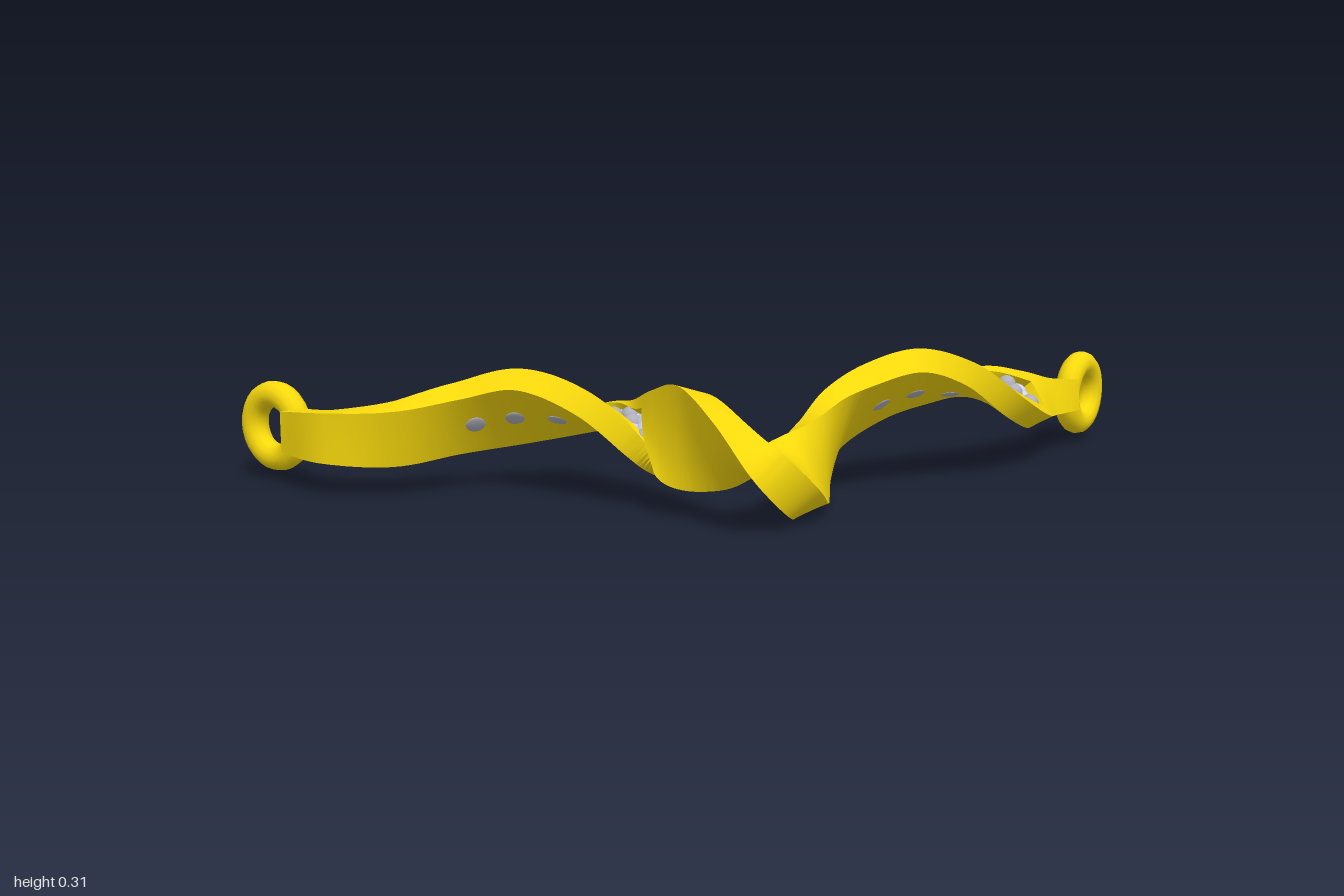
import * as THREE from 'three';
import { toCreasedNormals } from 'three/addons/utils/BufferGeometryUtils.js';

const gold = new THREE.MeshStandardMaterial({ color: 0xf9da0c });
const pale = new THREE.MeshStandardMaterial({ color: 0xd2d2f2 });
const grey = new THREE.MeshStandardMaterial({ color: 0xb0b0bc });
const DEPTH = 0.036, RIM = 0.028, STEPS = 8;
const PANELS = [[2.2, 6.6], [13.4, 18.1]]; // pocket ranges, in station numbers

const curve = (pts) => new THREE.CatmullRomCurve3(pts.map((p) => new THREE.Vector3(...p)));

// The two long edges of the twisted band, station by station
const edgeA = curve([
  [-0.9, 0.077, -0.29], [-0.825, 0.074, -0.17], [-0.7, 0.076, -0.135], [-0.56, 0.097, -0.165],
  [-0.42, 0.115, -0.177], [-0.28, 0.147, -0.135], [-0.203, 0.187, -0.01], [-0.172, 0.243, 0.125],
  [-0.14, 0.276, 0.24], [-0.095, 0.23, 0.375], [-0.035, 0.142, 0.435], [0.05, 0.048, 0.38],
  [0.1, 0.006, 0.25], [0.148, 0.035, 0.095], [0.215, 0.095, -0.032], [0.34, 0.158, -0.068],
  [0.47, 0.19, -0.088], [0.6, 0.205, -0.132], [0.7, 0.187, -0.195], [0.78, 0.17, -0.25], [0.88, 0.16, -0.31],
]);
const edgeB = curve([
  [-0.9, 0.165, -0.29], [-0.825, 0.18, -0.17], [-0.7, 0.197, -0.1], [-0.57, 0.227, -0.08],
  [-0.45, 0.255, -0.03], [-0.33, 0.215, 0.065], [-0.235, 0.13, 0.128], [-0.19, 0.075, 0.175],
  [-0.14, 0.065, 0.225], [-0.085, 0.085, 0.275], [-0.02, 0.13, 0.292], [0.03, 0.16, 0.265],
  [0.1, 0.19, 0.21], [0.17, 0.235, 0.17], [0.25, 0.268, 0.153], [0.36, 0.289, 0.132],
  [0.49, 0.248, 0.083], [0.62, 0.16, 0.01], [0.72, 0.105, -0.1], [0.79, 0.09, -0.215], [0.88, 0.09, -0.3],
]);

// 1 at the central loop, fading to 0 along the arms
const loopness = (s) => Math.exp(-(((s - 9.8) / 2.8) ** 2));

function slope(edge, s) {
  const lo = Math.max(s - 0.05, 0), hi = Math.min(s + 0.05, 20);
  return edge.getPoint(hi / 20).sub(edge.getPoint(lo / 20));
}

// Ruled surface between the edges at station s (0 to 20)
function frame(s) {
  const a = edgeA.getPoint(s / 20), b = edgeB.getPoint(s / 20);
  const centre = a.clone().add(b).multiplyScalar(0.5);
  const across = a.clone().sub(b);
  const half = across.length() / 2;
  across.normalize();
  const slopeA = slope(edgeA, s), slopeB = slope(edgeB, s);
  const normalAt = (v) => slopeB.clone().lerp(slopeA, (v / half + 1) / 2).cross(across).normalize();
  // v runs across the band, h above its middle layer
  const at = (v, h) => centre.clone().addScaledVector(across, v).addScaledVector(normalAt(v), h);
  return { half, normalAt, at };
}

// Section: outer rectangle with a pocket sunk in the top; around the loop
// it is heavier on the outer edge, which is also bevelled
function section(s, depth) {
  const { half, at } = frame(s);
  const loop = loopness(s);
  const i = Math.max(half - RIM, half * 0.4);
  const thick = (v) => 0.0275 + loop * THREE.MathUtils.lerp(-0.008, 0.013, (v / half + 1) / 2);
  const top = (v, drop = 0) => at(v, thick(v) - drop);
  const row = (from, to, point) => Array.from({ length: STEPS + 1 },
    (_, k) => point(THREE.MathUtils.lerp(from, to, k / STEPS)));
  return [top(half), top(i), ...row(i, -i, (v) => top(v, depth)), top(-i), top(-half),
    ...row(-half, half - 0.036 * loop, (v) => at(v, -thick(v)))];
}

function bandGeometry() {
  const rows = [];
  for (let k = 0; k <= 200; k++) {
    const s = k / 10;
    const panel = PANELS.find(([p, q]) => s >= p - 1e-6 && s <= q + 1e-6);
    const starts = panel && Math.abs(s - panel[0]) < 1e-6;
    const ends = panel && Math.abs(s - panel[1]) < 1e-6;
    if (starts) rows.push(section(s, 0));
    rows.push(section(s, panel ? DEPTH : 0));
    if (ends) rows.push(section(s, 0));
  }
  const n = rows[0].length, e = (rows.length - 1) * n;
  const pos = rows.flat().flatMap((p) => p.toArray()), index = [];
  for (let r = 0; r < rows.length - 1; r++) {
    for (let j = 0; j < n; j++) {
      const a = r * n + j, b = r * n + (j + 1) % n;
      index.push(a, b, a + n, b, b + n, a + n);
    }
  }
  for (let j = 1; j < n - 1; j++) index.push(0, j + 1, j, e, e + j, e + j + 1);
  const geo = new THREE.BufferGeometry();
  geo.setAttribute('position', new THREE.Float32BufferAttribute(pos, 3));
  geo.setIndex(index);
  return toCreasedNormals(geo, 0.6);
}

function add(parent, name, geo, mat) {
  const mesh = new THREE.Mesh(geo, mat);
  mesh.name = name;
  parent.add(mesh);
  return mesh;
}

// Beads filling one pocket, and the openings in its back
function panelBeads([from, to], name) {
  const group = new THREE.Group();
  group.name = name;
  const ball = new THREE.SphereGeometry(1, 16, 12);
  const place = (part, mat, f, v, h, wide, tall) => {
    const mesh = add(group, part, ball, mat);
    mesh.scale.set(wide, wide, tall);
    mesh.position.copy(f.at(v, h));
    mesh.quaternion.setFromUnitVectors(new THREE.Vector3(0, 0, 1), f.normalAt(v));
  };
  for (let k = 0; k < 10; k++) {
    const f = frame(from + (to - from) * (k + 0.7) / 10.4);
    const inner = f.half - RIM;
    for (const v of [-0.5, 0, 0.5]) {
      place('paleStone', pale, f, v * inner, -0.002, Math.min(0.038, inner * 0.6), 0.022);
    }
    const spots = k % 2 ? [-0.62] : [0.62, -0.1];
    for (const v of spots) place('smallBead', grey, f, v * inner, 0.01, 0.021, 0.021);
  }
  for (const q of [0.24, 0.39, 0.54]) {
    place('backOpening', grey, frame(from + (to - from) * q), 0, -0.0275, 0.021, 0.004);
  }
  return group;
}

export function createModel() {
  const model = new THREE.Group();
  model.name = 'twistedPendant';
  add(model, 'twistedBand', bandGeometry(), gold);
  model.add(panelBeads(PANELS[0], 'rightBeadPanel'), panelBeads(PANELS[1], 'leftBeadPanel'));

  // End rings
  const ringGeo = new THREE.TorusGeometry(0.069, 0.029, 12, 28);
  for (const [name, x, turn] of [['rightRing', -0.93, -0.86], ['leftRing', 0.928, 0.765]]) {
    const ring = add(model, name, ringGeo, gold);
    ring.position.set(x, 0.121, -0.357);
    ring.rotation.y = turn;
  }
  return model;
}
